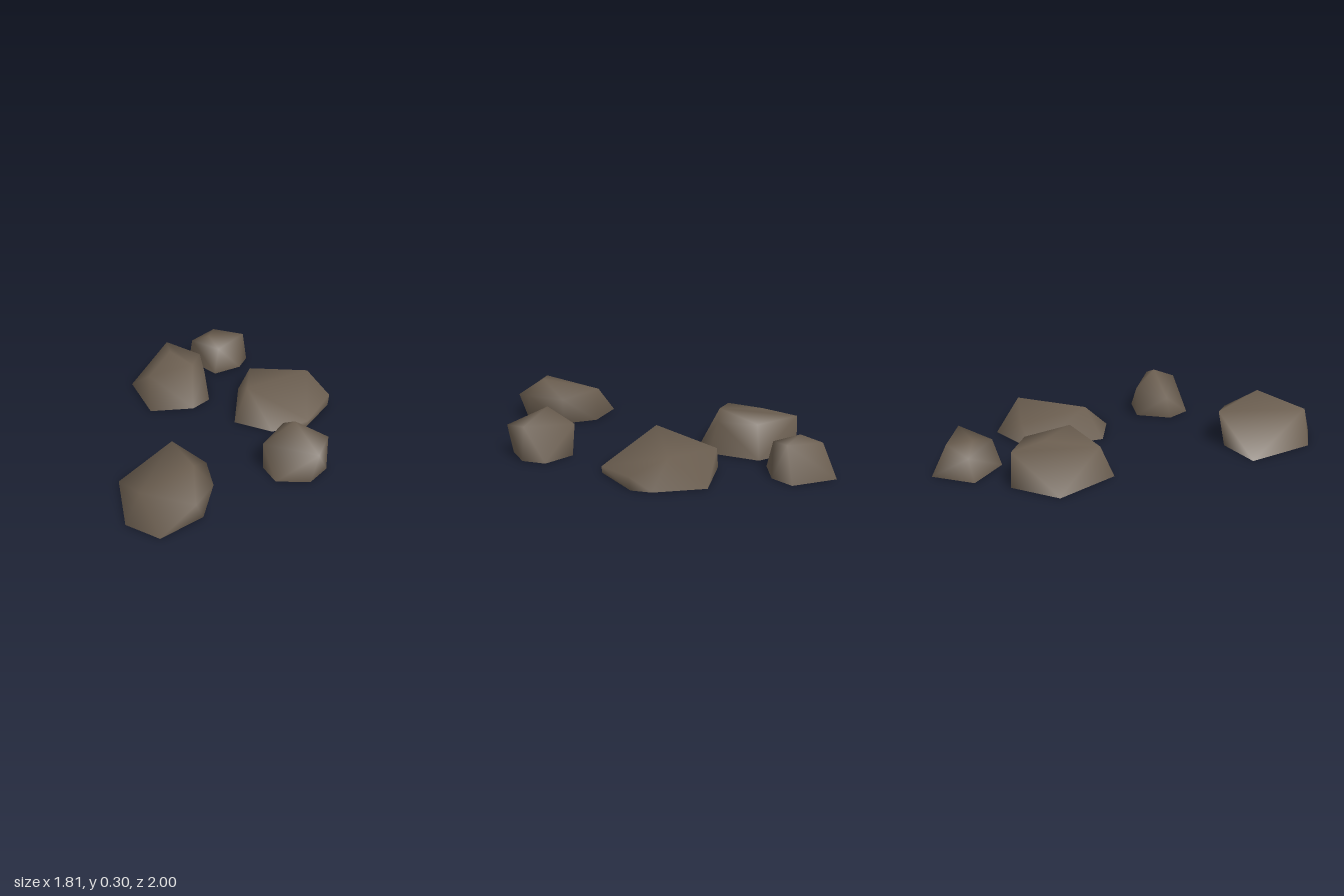
import * as THREE from 'three';
import { ConvexGeometry } from 'three/addons/geometries/ConvexGeometry.js';
import { mergeVertices } from 'three/addons/utils/BufferGeometryUtils.js';

const stone = new THREE.MeshStandardMaterial({ color: 0x6b5e50, side: THREE.DoubleSide });
stone.name = 'brown stone';

// Each rock: ground outline as [x, z], and upper corners as [x, y, z]
const rocks = {
  frontRock: {
    base: [[0.11, 0.75], [0.49, 0.995], [0.72, 0.935], [0.72, 0.62], [0.5, 0.455], [0.27, 0.5]],
    top: [[0.26, 0.23, 0.46], [0.615, 0.28, 0.6], [0.56, 0.22, 0.94], [0.51, 0.175, 0.41],
      [0.72, 0.18, 0.545], [0.775, 0.15, 0.72]],
  },
  backRock: {
    base: [[-0.295, -0.61], [-0.145, -0.955], [0.17, -0.955], [0.28, -0.9], [0.39, -0.58],
      [0.29, -0.355], [0.04, -0.26]],
    top: [[0.03, 0.21, -0.38], [-0.265, 0.145, -0.69], [0.07, 0.18, -0.91], [0.29, 0.08, -0.9],
      [0.395, 0.04, -0.58]],
  },
  sideRock: {
    base: [[-0.84, -0.43], [-0.845, -0.1], [-0.445, 0.055], [-0.285, -0.185], [-0.31, -0.35],
      [-0.565, -0.545]],
    top: [[-0.84, 0.23, -0.42], [-0.66, 0.255, -0.3], [-0.39, 0.26, -0.27], [-0.52, 0.215, 0],
      [-0.565, 0.21, -0.49], [-0.36, 0.2, -0.35]],
  },
  smallBackRock: {
    base: [[-0.905, -0.945], [-0.62, -1], [-0.545, -0.86], [-0.58, -0.65], [-0.875, -0.66]],
    top: [[-0.6, 0.22, -0.94], [-0.84, 0.2, -0.87], [-0.75, 0.215, -0.74], [-0.875, 0.15, -0.69],
      [-0.6, 0.17, -0.7]],
  },
  smallSideRock: {
    base: [[0.52, -0.23], [0.7, -0.355], [0.83, -0.28], [0.87, -0.1], [0.73, 0.055], [0.57, 0]],
    top: [[0.66, 0.3, -0.165], [0.905, 0.185, -0.12], [0.82, 0.215, -0.29], [0.505, 0.2, -0.23],
      [0.545, 0.15, -0.015]],
  },
};

// Hull of the corners, open underneath, with smooth normals
function rockGeometry({ base, top }) {
  const points = [
    ...base.map(([x, z]) => new THREE.Vector3(x, 0, z)),
    ...top.map((p) => new THREE.Vector3(...p)),
  ];
  const hull = new ConvexGeometry(points).getAttribute('position');
  const kept = [];
  for (let i = 0; i < hull.count; i += 3) {
    const corners = [i, i + 1, i + 2];
    if (corners.every((c) => hull.getY(c) < 0.001)) continue;
    for (const c of corners) kept.push(hull.getX(c), hull.getY(c), hull.getZ(c));
  }
  let geometry = new THREE.BufferGeometry();
  geometry.setAttribute('position', new THREE.Float32BufferAttribute(kept, 3));
  geometry = mergeVertices(geometry);
  geometry.computeVertexNormals();
  return geometry;
}

export function createModel() {
  const group = new THREE.Group();
  group.name = 'rocks';
  for (const [name, corners] of Object.entries(rocks)) {
    const rock = new THREE.Mesh(rockGeometry(corners), stone);
    rock.name = name;
    group.add(rock);
  }
  return group;
}
